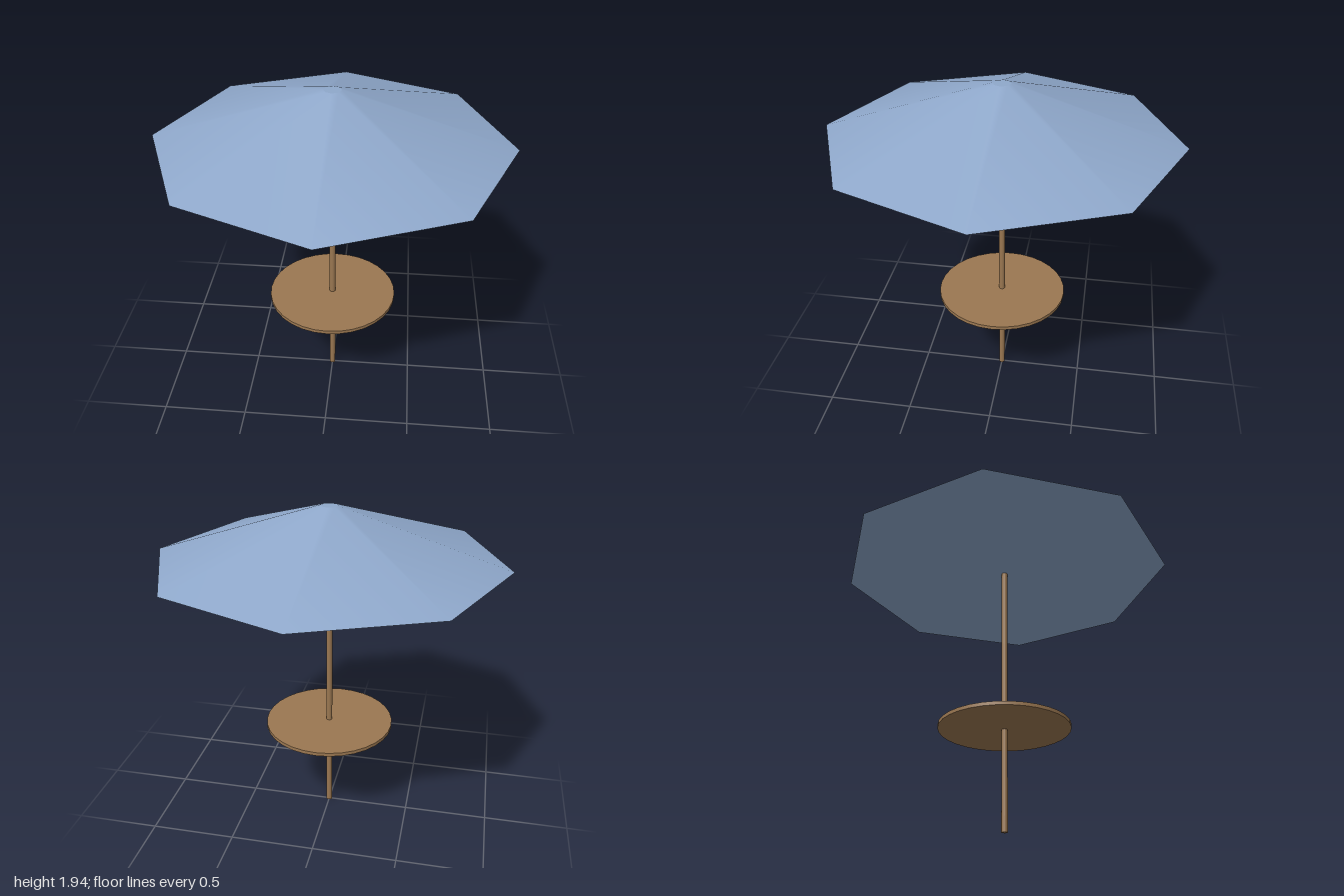
import * as THREE from 'three';

export function createModel() {
  const group = new THREE.Group();
  const wood = new THREE.MeshStandardMaterial({ color: 0x9a7751 });
  wood.name = 'brown wood';
  const cloth = new THREE.MeshStandardMaterial({ color: 0x8fa8cb });
  cloth.name = 'blue cloth';

  // Adds an upright tapered cylinder spanning bottom to top
  function addRound(name, material, topRadius, bottomRadius, bottom, top, sides) {
    const geometry = new THREE.CylinderGeometry(topRadius, bottomRadius, top - bottom, sides);
    const mesh = new THREE.Mesh(geometry, material);
    mesh.name = name;
    mesh.position.y = (bottom + top) / 2;
    group.add(mesh);
  }

  // Pole from the ground into the canopy
  addRound('pole', wood, 0.018, 0.018, 0, 1.64, 12);
  // Round table top threaded on the pole
  addRound('tableTop', wood, 0.383, 0.383, 0.587, 0.608, 32);
  // Eight-sided canopy with a small flat crown and closed underside
  addRound('canopy', cloth, 0.05, 1, 1.632, 1.937, 8);

  return group;
}
